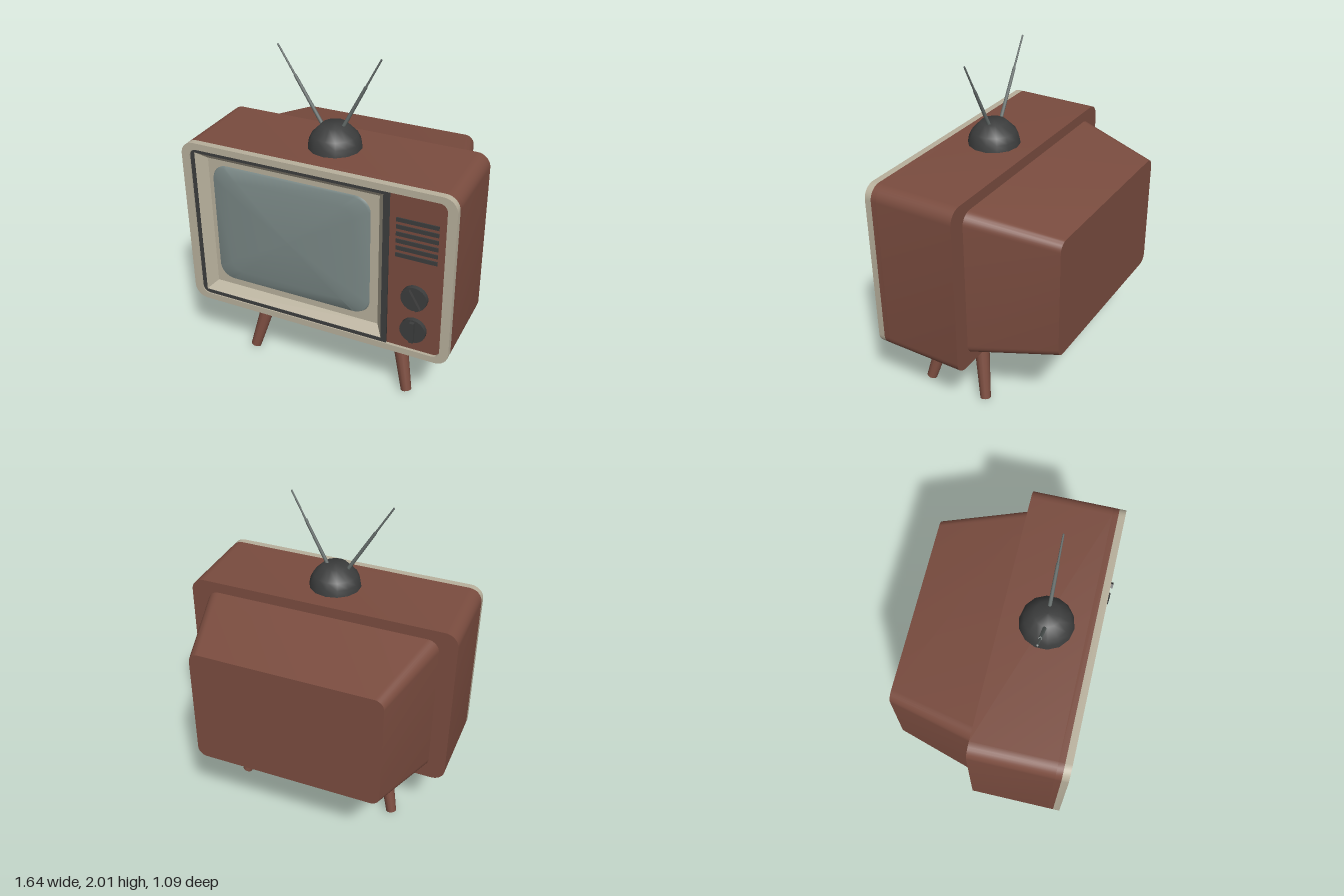
import * as THREE from 'three';
import { toCreasedNormals } from 'three/addons/utils/BufferGeometryUtils.js';

const mat = (name, color, side = THREE.FrontSide) => {
  const m = new THREE.MeshStandardMaterial({ color, side });
  m.name = name;
  return m;
};

// Rounded rectangle; r is the radius of the left corners, rr of the right ones
function roundRect(x0, y0, x1, y1, r, rr = r, Type = THREE.Shape) {
  const s = new Type(), h = Math.PI / 2;
  s.absarc(x1 - rr, y0 + rr, rr, -h, 0);
  s.absarc(x1 - rr, y1 - rr, rr, 0, h);
  s.absarc(x0 + r, y1 - r, r, h, 2 * h);
  s.absarc(x0 + r, y0 + r, r, 2 * h, 3 * h);
  s.closePath();
  return s;
}

function rectHole(x0, y0, x1, y1) {
  return new THREE.Path([[x0, y0], [x1, y0], [x1, y1], [x0, y1]].map(p => new THREE.Vector2(...p)));
}

function slab(shape, z0, z1) {
  const g = new THREE.ExtrudeGeometry(shape, { depth: z1 - z0, bevelEnabled: false, curveSegments: 4 });
  return g.translate(0, 0, z0);
}

// Tapered round bar between two points
function rod(a, b, ra, rb, sides) {
  const from = new THREE.Vector3(...a), dir = new THREE.Vector3(...b).sub(from);
  const g = new THREE.CylinderGeometry(rb, ra, dir.length(), sides);
  g.translate(0, dir.length() / 2, 0);
  g.applyQuaternion(new THREE.Quaternion().setFromUnitVectors(new THREE.Vector3(0, 1, 0), dir.normalize()));
  return g.translate(...a);
}

// Convex glass: shrinking copies of the outline that rise towards the middle
function bulgedGlass(shape, cx, cy, z, bulge) {
  const pts = shape.getPoints(4), n = pts.length, pos = [], idx = [];
  const rings = [[1, 0], [0.985, 0.35], [0.8, 0.58], [0.55, 0.8], [0.28, 0.95], [0, 1]];
  rings.forEach(([t, h]) => pts.forEach(p =>
    pos.push(cx + (p.x - cx) * t, cy + (p.y - cy) * t, z + bulge * h)));
  for (let r = 0; r < rings.length - 1; r++) {
    for (let i = 0; i < n; i++) {
      const j = (i + 1) % n, a = r * n + i, b = r * n + j;
      idx.push(a, b, b + n, a, b + n, a + n);
    }
  }
  const g = new THREE.BufferGeometry();
  g.setAttribute('position', new THREE.Float32BufferAttribute(pos, 3));
  g.setIndex(idx);
  g.computeVertexNormals();
  return g;
}

// Four sloping faces between a front rectangle and a smaller one behind it
function slopedSurround([ax0, ay0, ax1, ay1, az], [bx0, by0, bx1, by1, bz]) {
  const A = [[ax0, ay0, az], [ax1, ay0, az], [ax1, ay1, az], [ax0, ay1, az]];
  const B = [[bx0, by0, bz], [bx1, by0, bz], [bx1, by1, bz], [bx0, by1, bz]];
  const pos = [];
  for (let i = 0; i < 4; i++) {
    const j = (i + 1) % 4;
    [A[i], A[j], B[j], A[i], B[j], B[i]].forEach(p => pos.push(...p));
  }
  const g = new THREE.BufferGeometry();
  g.setAttribute('position', new THREE.Float32BufferAttribute(pos, 3));
  g.computeVertexNormals();
  return g;
}

export function createModel() {
  const model = new THREE.Group();
  model.name = 'television';
  const wood = mat('brown wood', 0x7a4c3f);
  const cream = mat('cream trim', 0xb8b09c, THREE.DoubleSide);
  const dark = mat('dark plastic', 0x3c3d3d);
  const glass = mat('screen glass', 0x7a8886);
  const metal = mat('antenna metal', 0x69716f);

  const add = (name, geo, material, parent = model) => {
    const m = new THREE.Mesh(geo, material);
    m.name = name;
    parent.add(m);
    return m;
  };
  const creased = g => toCreasedNormals(g, 0.6);

  // Cabinet with a shallow open front
  const outline = () => roundRect(-0.82, 0.39, 0.82, 1.45, 0.08);
  const openFront = () => {
    const s = outline();
    s.holes.push(roundRect(-0.767, 0.43, 0.767, 1.41, 0.045, 0.045, THREE.Path));
    return s;
  };
  add('cabinet', creased(slab(outline(), -0.04, 0.44)), wood);
  add('cabinetLip', creased(slab(openFront(), 0.44, 0.475)), wood);
  add('frontRim', creased(slab(openFront(), 0.475, 0.515)), cream);

  // Back housing, narrowing towards the rear
  const cy = 0.922;
  const back = slab(roundRect(-0.715, 0.46, 0.715, 1.385, 0.07), -0.545, -0.04);
  const p = back.attributes.position;
  for (let i = 0; i < p.count; i++) {
    if (p.getZ(i) < -0.3) p.setXY(i, p.getX(i) * 0.804, cy + (p.getY(i) - cy) * 0.8);
  }
  add('backHousing', creased(back), wood);

  // Screen: dark frame, sloping surround, back plate and glass
  const frame = roundRect(-0.767, 0.43, 0.448, 1.41, 0.04, 0.003);
  frame.holes.push(rectHole(-0.742, 0.452, 0.413, 1.388));
  add('screenFrame', creased(slab(frame, 0.44, 0.508)), dark);
  add('screenSurround', slopedSurround(
    [-0.742, 0.452, 0.413, 1.388, 0.504], [-0.69, 0.5, 0.37, 1.34, 0.45]), cream);
  add('screenPlate', new THREE.PlaneGeometry(1.06, 0.84).translate(-0.16, 0.92, 0.45), cream);
  add('screen', bulgedGlass(roundRect(-0.66, 0.55, 0.32, 1.31, 0.09), -0.17, 0.93, 0.452, 0.045), glass);

  // Control panel with grille bars and two knobs
  add('controlPanel', creased(slab(roundRect(0.448, 0.43, 0.767, 1.41, 0.003, 0.045), 0.44, 0.498)), wood);
  for (let i = 0; i < 6; i++) {
    add('grilleBar', new THREE.BoxGeometry(0.237, 0.024, 0.008).translate(0.605, 1.254 - i * 0.0434, 0.5), dark);
  }
  for (const [y, turn] of [[0.79, Math.PI / 6], [0.574, 0]]) {
    const knob = new THREE.Group();
    knob.name = 'knob';
    knob.position.set(0.608, y, 0);
    knob.rotation.z = turn;
    const disc = new THREE.CylinderGeometry(0.076, 0.076, 0.028, 20).rotateX(Math.PI / 2);
    add('knobDisc', disc.translate(0, 0, 0.511), dark, knob);
    add('knobGrip', new THREE.BoxGeometry(0.027, 0.132, 0.023).translate(0, 0, 0.5335), dark, knob);
    model.add(knob);
  }

  // Stand and splayed legs
  add('standBoard', new THREE.BoxGeometry(1.24, 0.045, 0.44).translate(0, 0.3725, 0.22), wood);
  for (const [xTop, xFoot] of [[-0.414, -0.5], [0.444, 0.532]]) {
    for (const [zTop, zFoot] of [[0.292, 0.372], [0.048, -0.028]]) {
      add('leg', rod([xFoot, 0.004, zFoot], [xTop, 0.355, zTop], 0.032, 0.047, 12), wood);
    }
  }

  // Antenna dome and telescopic rods
  const dome = new THREE.LatheGeometry(
    [[0.155, 0], [0.148, 0.04], [0.13, 0.078], [0.075, 0.134], [0, 0.138]].map(q => new THREE.Vector2(...q)), 14);
  add('antennaBase', dome.translate(0, 1.449, 0.215), dark);
  for (const [root, tip] of [[[-0.075, 1.565, 0.215], [-0.335, 1.996, 0.219]], [[0.045, 1.565, 0.215], [0.272, 1.997, 0.219]]]) {
    const mid = root.map((v, i) => v + (tip[i] - v) * 0.62);
    add('antennaLower', rod(root, mid, 0.011, 0.009, 8), metal);
    add('antennaUpper', rod(mid, tip, 0.006, 0.005, 8), metal);
  }
  return model;
}
